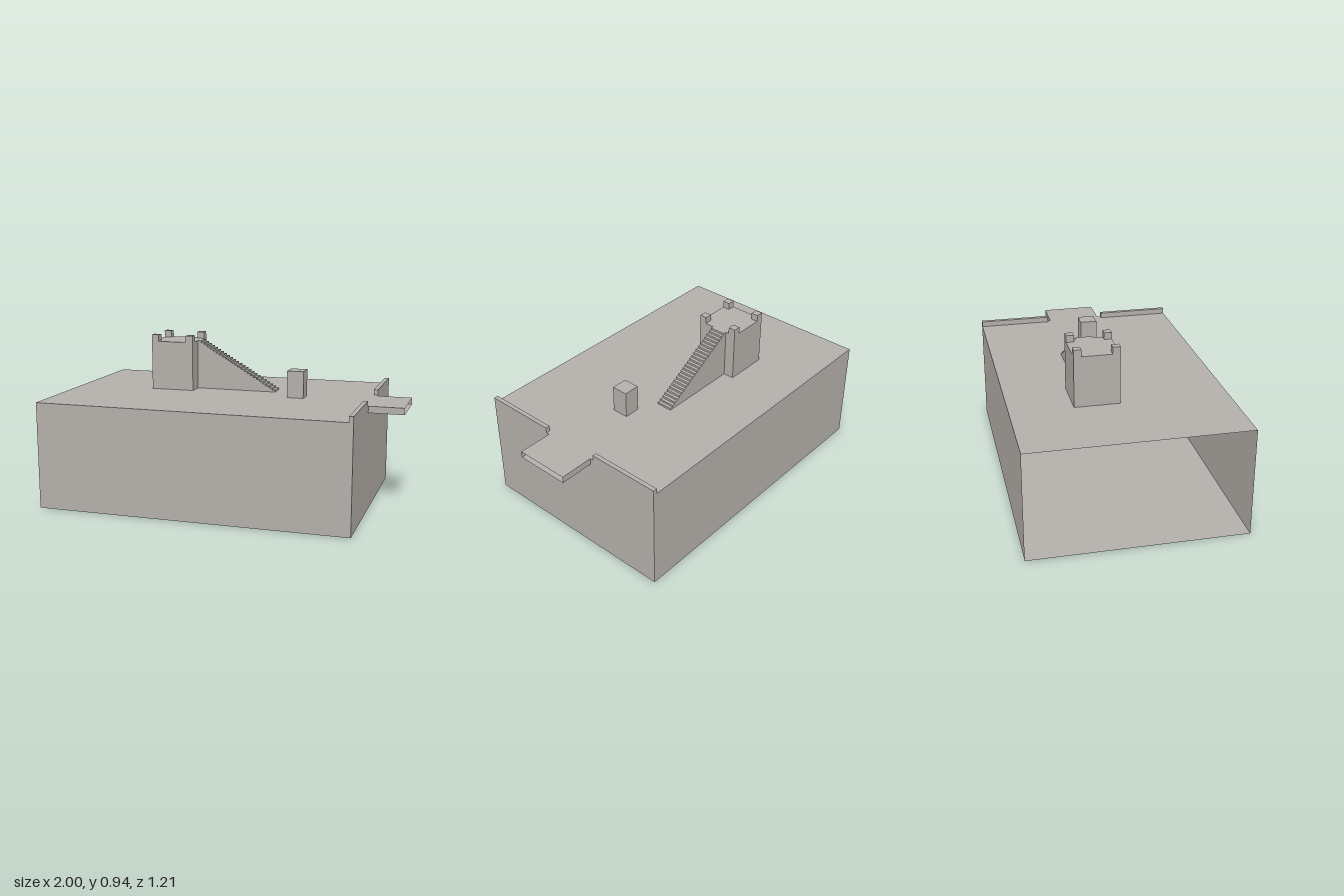
import * as THREE from 'three';

const stone = new THREE.MeshStandardMaterial({ color: 0xb3afa9, side: THREE.DoubleSide });
stone.name = 'stone';

// Box given by its limits; openFace drops one side (0 = +x, 1 = -x)
function block(name, [x0, x1], [y0, y1], [z0, z1], openFace = -1) {
  const geo = new THREE.BoxGeometry(x1 - x0, y1 - y0, z1 - z0);
  if (openFace >= 0) {
    const index = Array.from(geo.index.array);
    index.splice(openFace * 6, 6);
    geo.setIndex(index);
    geo.clearGroups();
  }
  geo.translate((x0 + x1) / 2, (y0 + y1) / 2, (z0 + z1) / 2);
  const mesh = new THREE.Mesh(geo, stone);
  mesh.name = name;
  return mesh;
}

export function createModel() {
  const model = new THREE.Group();
  model.name = 'fortress';
  const deck = 0.615;

  // Hollow base, open at the -x end
  model.add(block('base', [-1, 0.8], [0, deck], [-0.605, 0.605], 1));

  // Hollow balcony, open at its outer end
  model.add(block('balcony', [0.8, 1], [0.577, deck], [-0.158, 0.158], 0));

  // Parapets either side of the balcony
  model.add(block('parapetFront', [0.775, 0.8], [deck, 0.647], [0.178, 0.605]));
  model.add(block('parapetBack', [0.775, 0.8], [deck, 0.647], [-0.605, -0.178]));

  // Tower with a merlon on each corner
  const tower = new THREE.Group();
  tower.name = 'tower';
  const [tx0, tx1, tz0, tz1, top, m] = [-0.54, -0.283, -0.255, -0.002, 0.903, 0.043];
  tower.add(block('towerBody', [tx0, tx1], [deck, top], [tz0, tz1]));
  for (const x of [tx0, tx1 - m])
    for (const z of [tz0, tz1 - m])
      tower.add(block('merlon', [x, x + m], [top, 0.942], [z, z + m]));
  model.add(tower);

  // Staircase: stepped profile extruded across its width
  const steps = 25, x0 = tx1, x1 = 0.2;
  const run = (x1 - x0) / steps, rise = (top - deck) / steps;
  const profile = new THREE.Shape();
  profile.moveTo(x0, deck);
  profile.lineTo(x1, deck);
  for (let i = 0; i < steps; i++) {
    const y = deck + rise * (i + 1);
    profile.lineTo(x1 - run * i, y);
    profile.lineTo(x1 - run * (i + 1), y);
  }
  const stairGeo = new THREE.ExtrudeGeometry(profile, { depth: 0.094, bevelEnabled: false });
  stairGeo.translate(0, 0, -0.192);
  const stairs = new THREE.Mesh(stairGeo, stone);
  stairs.name = 'stairs';
  model.add(stairs);

  // Free-standing pillar
  model.add(block('pillar', [0.31, 0.406], [deck, 0.77], [-0.048, 0.048]));

  return model;
}
